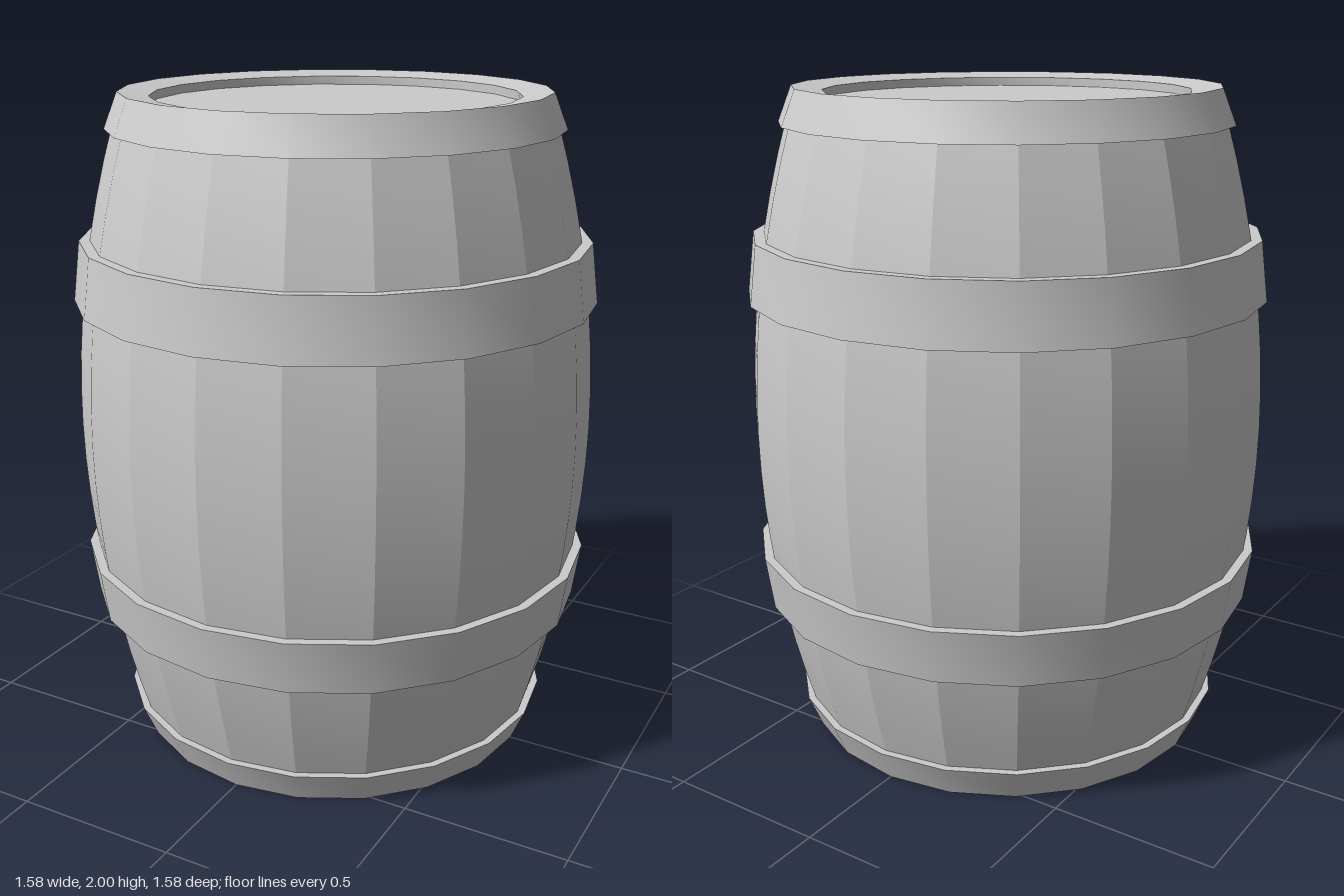
import * as THREE from 'three';
import { toCreasedNormals } from 'three/addons/utils/BufferGeometryUtils.js';

const SIDES = 20;

export function createModel() {
  const barrel = new THREE.Group();
  barrel.name = 'barrel';
  const material = new THREE.MeshStandardMaterial({ color: 0xcccccc });

  // Turned part from [radius, height] points, sharp above the crease angle
  const turned = (name, points, crease) => {
    const profile = points.map(([r, y]) => new THREE.Vector2(r, y));
    const geometry = toCreasedNormals(new THREE.LatheGeometry(profile, SIDES), crease);
    const mesh = new THREE.Mesh(geometry, material);
    mesh.name = name;
    barrel.add(mesh);
  };

  // Bulging staves: smooth lengthwise, faceted around
  const bulge = (y) => 0.79 - 0.167 * (y - 1) ** 2;
  const staves = [];
  for (let i = 0; i <= 16; i++) {
    const y = 0.08 + (1.84 * i) / 16;
    staves.push([bulge(y), y]);
  }
  turned('staves', staves, 0.2);

  // Middle hoops, each a closed band with its wide edge towards the belly
  const hoop = (name, y0, r0, y1, r1) =>
    turned(name, [[r0 - 0.05, y0], [r0, y0], [r1, y1], [r1 - 0.05, y1], [r0 - 0.05, y0]], 0.5);
  hoop('lowerHoop', 0.435, 0.768, 0.6, 0.791);
  hoop('upperHoop', 1.39, 0.791, 1.57, 0.768);

  // Bottom hoop with the flat base
  turned('baseHoop', [[0, 0], [0.635, 0], [0.677, 0.1], [0.64, 0.1]], 0.5);

  // Top hoop with a slightly dished rim and the recessed lid
  turned('topHoopAndLid', [
    [0.64, 1.895], [0.677, 1.895], [0.635, 2],
    [0.545, 1.986], [0.545, 1.96], [0, 1.96],
  ], 0.5);

  return barrel;
}
